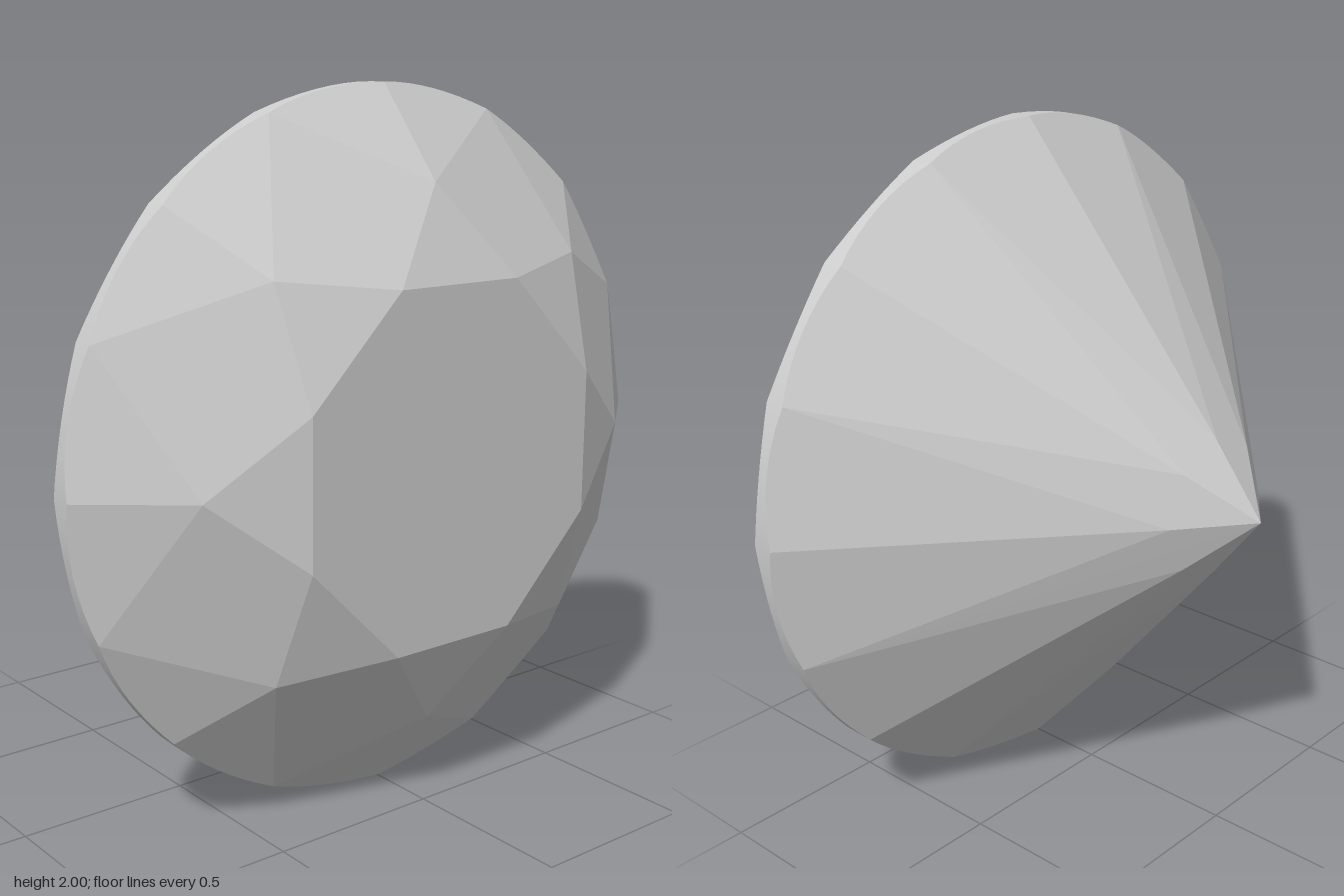
import * as THREE from 'three';

const STEP = Math.PI / 8;   // 22.5 degrees, one girdle facet
const ARC = 8;              // subdivisions of each curved facet edge
const GIRDLE_FRONT = 0.298, GIRDLE_BACK = 0.234;

// Point at k facet steps around the axis, at radius r and depth z
const at = (k, r, z) => new THREE.Vector3(r * Math.cos(k * STEP), r * Math.sin(k * STEP), z);

const table = k => at(k, 0.53, 0.615);
const crown = k => at(k, 0.745, 0.508);
const pavilion = k => at(k, 0.2, -0.458);
const culet = at(0, 0, -0.615);

// Planar facet from an inner point out to the girdle, cut by the unit cylinder
function scallop(inner, k, z) {
  const plane = new THREE.Plane().setFromCoplanarPoints(inner, at(k, 1, z), at(k + 1, 1, z));
  const points = [];
  for (let i = 0; i <= ARC; i++) {
    const p = at(k + i / ARC, 1, 0);
    p.z = -(plane.constant + plane.normal.x * p.x + plane.normal.y * p.y) / plane.normal.z;
    points.push(p);
  }
  return points;
}

// Triangle fan around the first corner
function fan(out, corners) {
  for (let i = 1; i < corners.length - 1; i++) out.push(corners[0], corners[i], corners[i + 1]);
}

export function createModel() {
  const gem = new THREE.Group();
  gem.name = 'brilliantCutGem';

  const addFacets = (name, triangles, radialNormals = false) => {
    const geometry = new THREE.BufferGeometry().setFromPoints(triangles);
    geometry.computeVertexNormals();
    if (radialNormals) {
      triangles.forEach((p, i) => geometry.attributes.normal.setXYZ(i, p.x, p.y, 0));
    }
    const mesh = new THREE.Mesh(geometry, new THREE.MeshStandardMaterial({
      color: 0xcccccc, flatShading: !radialNormals,
    }));
    mesh.name = name;
    gem.add(mesh);
  };

  const tableTop = [], stars = [], bezels = [], upperHalves = [];
  const girdle = [], lowerHalves = [], pavilionMains = [];

  // Flat octagonal table
  fan(tableTop, Array.from({ length: 8 }, (_, i) => table(2 * i + 1)));

  // Eightfold facets: stars, crown kites and pavilion kites
  for (let k = 0; k < 16; k += 2) {
    fan(stars, [table(k - 1), crown(k), table(k + 1)]);
    fan(bezels, [table(k + 1), crown(k), at(k + 1, 1, GIRDLE_FRONT), crown(k + 2)]);
    fan(pavilionMains, [culet, pavilion(k + 2), at(k + 1, 1, GIRDLE_BACK), pavilion(k)]);
  }

  // Sixteen half facets on each side, with the scalloped girdle between them
  for (let k = 0; k < 16; k++) {
    const even = k + (k % 2);
    const front = scallop(crown(even), k, GIRDLE_FRONT);
    const back = scallop(pavilion(even), k, GIRDLE_BACK);
    fan(upperHalves, [crown(even), ...front]);
    fan(lowerHalves, [pavilion(even), ...back.slice().reverse()]);
    for (let i = 0; i < ARC; i++) fan(girdle, [back[i], back[i + 1], front[i + 1], front[i]]);
  }

  addFacets('table', tableTop);
  addFacets('starFacets', stars);
  addFacets('crownMainFacets', bezels);
  addFacets('upperGirdleFacets', upperHalves);
  addFacets('girdle', girdle, true);
  addFacets('lowerGirdleFacets', lowerHalves);
  addFacets('pavilionMainFacets', pavilionMains);

  gem.position.y = 1;
  const model = new THREE.Group();
  model.name = 'gem';
  model.add(gem);
  return model;
}
